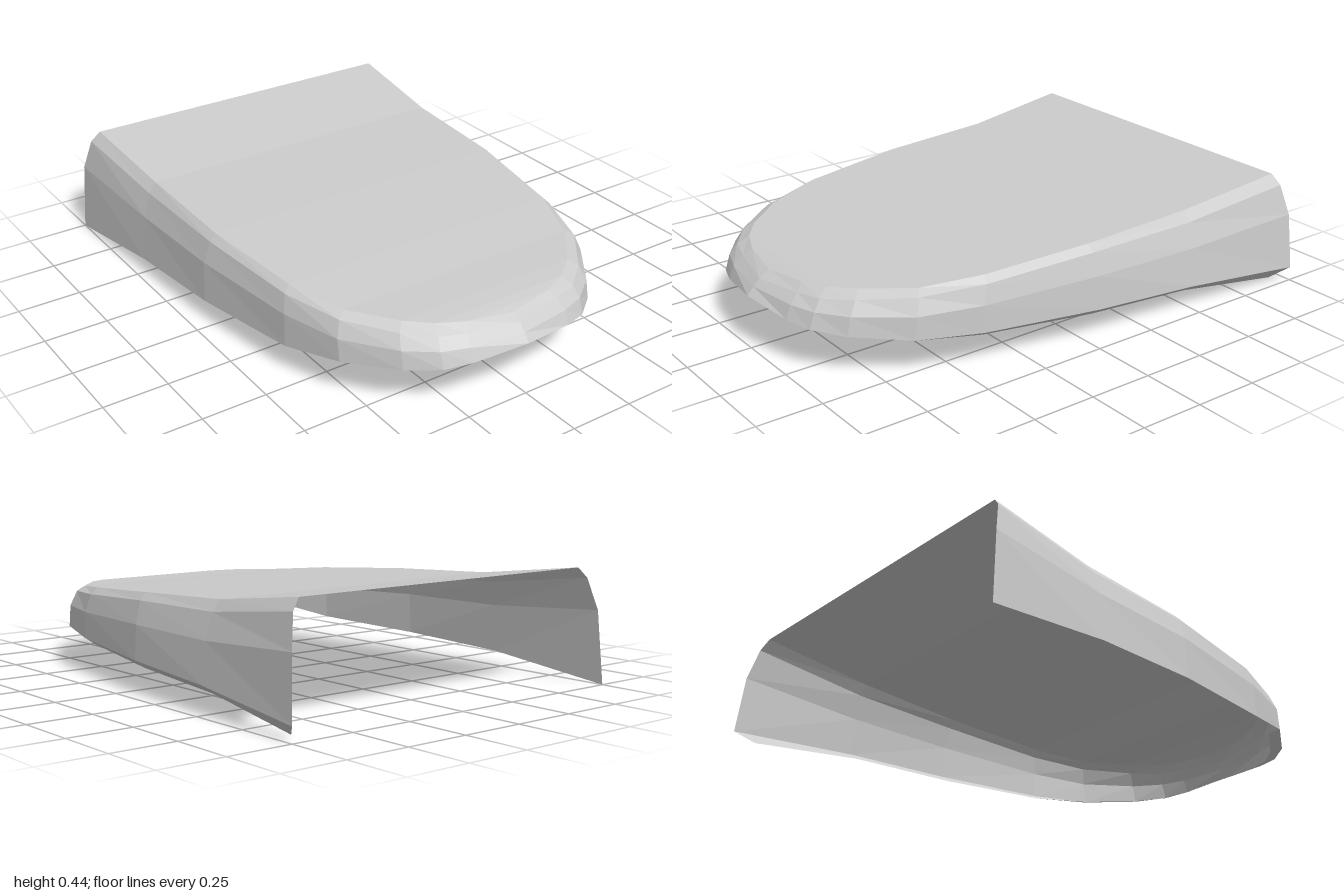
import * as THREE from 'three';

// Cross-sections of one half, from the rear corner round to the nose.
// Each holds: top crease, shoulder, middle, bottom rim, inner lip.
const HALF = [
  [[0.67, 0.44, -0.935], [0.705, 0.4, -0.95], [0.735, 0.28, -0.98], [0.75, 0.055, -1], [0.7, 0.01, -0.935]],
  [[0.645, 0.385, -0.49], [0.675, 0.345, -0.49], [0.705, 0.25, -0.49], [0.72, 0.1, -0.49], [0.67, 0.065, -0.49]],
  [[0.635, 0.363, -0.03], [0.66, 0.335, -0.03], [0.685, 0.25, -0.04], [0.692, 0.12, -0.04], [0.65, 0.088, -0.04]],
  [[0.58, 0.335, 0.39], [0.605, 0.31, 0.4], [0.62, 0.24, 0.42], [0.622, 0.137, 0.42], [0.585, 0.11, 0.4]],
  [[0.5, 0.315, 0.61], [0.53, 0.295, 0.63], [0.55, 0.235, 0.65], [0.55, 0.15, 0.66], [0.515, 0.135, 0.63]],
  [[0.37, 0.308, 0.77], [0.4, 0.285, 0.8], [0.415, 0.235, 0.83], [0.415, 0.165, 0.845], [0.39, 0.148, 0.8]],
  [[0.28, 0.302, 0.84], [0.3, 0.275, 0.88], [0.31, 0.235, 0.91], [0.31, 0.175, 0.93], [0.29, 0.155, 0.885]],
  [[0.18, 0.295, 0.88], [0.2, 0.27, 0.91], [0.21, 0.235, 0.945], [0.21, 0.185, 0.965], [0.2, 0.165, 0.92]],
  [[0, 0.285, 0.91], [0, 0.26, 0.95], [0, 0.235, 0.975], [0, 0.205, 1], [0, 0.178, 0.95]],
];

// Skin between neighbouring rows of points
function skin(rows) {
  const pos = [];
  for (let r = 0; r < rows.length - 1; r++) {
    for (let i = 0; i < rows[r].length - 1; i++) {
      const a = rows[r][i], b = rows[r][i + 1], c = rows[r + 1][i], d = rows[r + 1][i + 1];
      pos.push(...a, ...b, ...c, ...b, ...d, ...c);
    }
  }
  const g = new THREE.BufferGeometry();
  g.setAttribute('position', new THREE.Float32BufferAttribute(pos, 3));
  g.computeVertexNormals();
  return g;
}

export function createModel() {
  const group = new THREE.Group();
  group.name = 'openShellCover';
  const material = new THREE.MeshStandardMaterial({ color: 0xcccccc, flatShading: true, side: THREE.DoubleSide });
  const add = (name, rows) => {
    const mesh = new THREE.Mesh(skin(rows), material);
    mesh.name = name;
    group.add(mesh);
  };

  // On the right side the wall runs straight down and the lip vanishes
  const mirrored = HALF.slice(0, -1).reverse().map((section, k) => {
    const i = HALF.length - 2 - k;
    const s = section.map(([x, y, z]) => [-x, y, z]);
    if (i < 4) {
      s[3][1] = i === 0 ? 0 : s[4][1];
      s[4] = [...s[3]];
    }
    return s;
  });
  const sections = [...HALF, ...mirrored];
  const ring = (k) => sections.map((s) => s[k]);

  // Top panel: strips across from side to side, closing at the nose
  const left = HALF.map((s) => s[0]);
  const right = left.map(([x, y, z]) => [-x, y, z]);
  add('topPanel', [right, left]);

  // Rounded shoulder and wall, open at the rear
  add('sideWall', [ring(0), ring(1), ring(2), ring(3)]);

  // Narrow lip turned in under the rim, ending on the right of the nose
  const lipEnd = HALF.length + 4;
  add('bottomLip', [ring(3).slice(0, lipEnd), ring(4).slice(0, lipEnd)]);

  return group;
}
